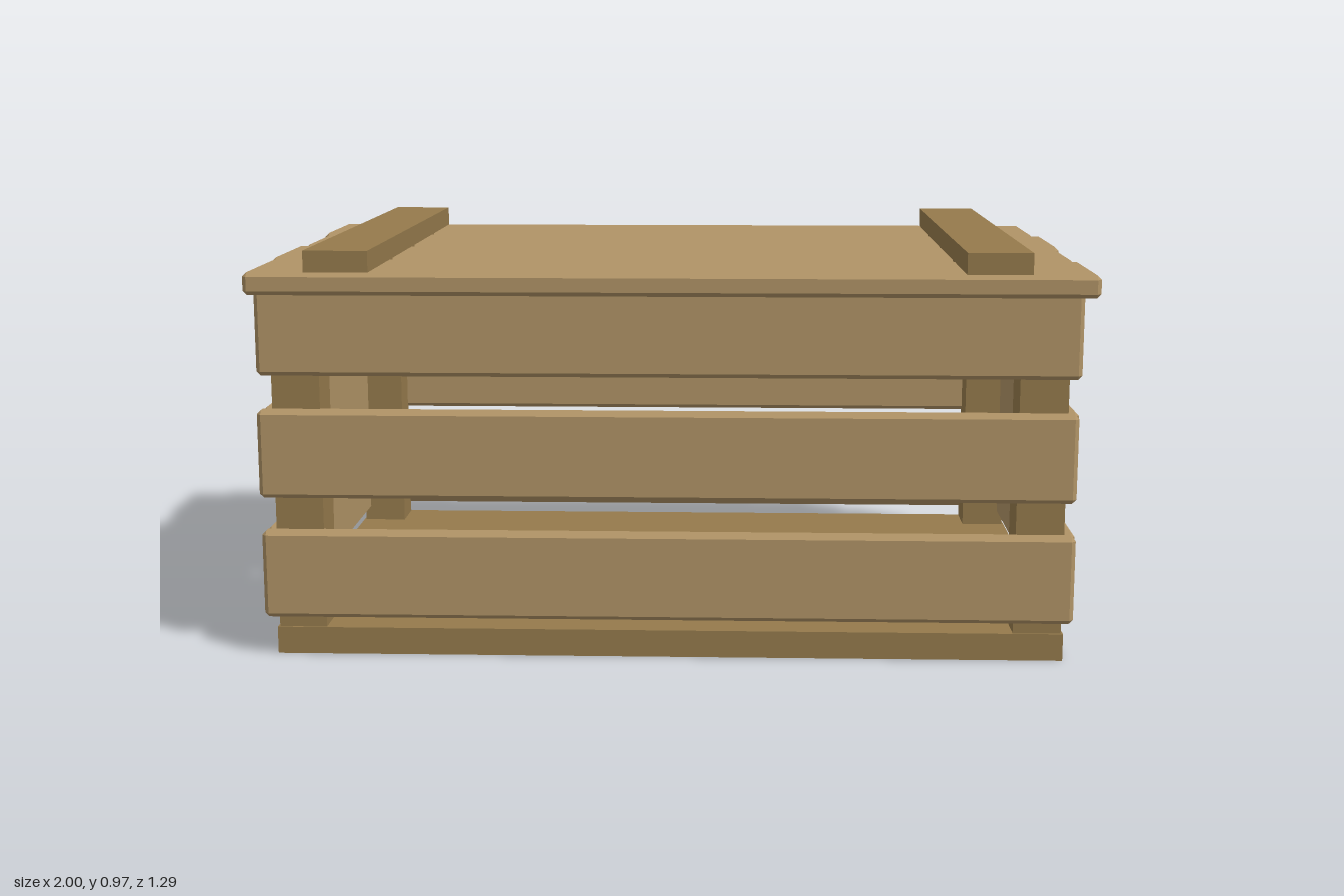
import * as THREE from 'three';
import { ConvexGeometry } from 'three/addons/geometries/ConvexGeometry.js';

const wood = (color) => new THREE.MeshStandardMaterial({ color, flatShading: true });

// Block with every edge chamfered: three corner points per corner
function chamferBox(w, h, d, c) {
  const points = [];
  for (const sx of [-1, 1]) for (const sy of [-1, 1]) for (const sz of [-1, 1]) {
    const x = w / 2, y = h / 2, z = d / 2;
    points.push(
      new THREE.Vector3(sx * x, sy * (y - c), sz * (z - c)),
      new THREE.Vector3(sx * (x - c), sy * y, sz * (z - c)),
      new THREE.Vector3(sx * (x - c), sy * (y - c), sz * z));
  }
  return new ConvexGeometry(points);
}

export function createModel() {
  const model = new THREE.Group();
  model.name = 'crate';
  const plankWood = wood(0xb09366);
  const frameWood = wood(0x957a4c);
  const rope = wood(0xb8a27a);

  // Adds a block given its extents; chamfer 0 gives a plain box
  function block(name, material, [x0, x1], [y0, y1], [z0, z1], chamfer = 0) {
    const size = [x1 - x0, y1 - y0, z1 - z0];
    const geometry = chamfer ? chamferBox(...size, chamfer) : new THREE.BoxGeometry(...size);
    const mesh = new THREE.Mesh(geometry, material);
    mesh.name = name;
    mesh.position.set((x0 + x1) / 2, (y0 + y1) / 2, (z0 + z1) / 2);
    model.add(mesh);
  }
  const mirrored = (s, a, b) => (s > 0 ? [a, b] : [-b, -a]);

  // Floor slab and corner posts
  block('base', frameWood, [-0.935, 0.935], [0, 0.065], [-0.61, 0.61]);
  for (const sx of [-1, 1]) for (const sz of [-1, 1]) {
    block('cornerPost', frameWood, mirrored(sx, 0.817, 0.93), [0.06, 0.87], mirrored(sz, 0.49, 0.605));
  }

  // Three rows of wall slats, slightly uneven along x
  const rows = [[0.095, 0.305, -0.003], [0.385, 0.595, -0.005], [0.677, 0.887, -0.002]];
  for (const [y0, y1, shift] of rows) for (const s of [-1, 1]) {
    block(s > 0 ? 'frontSlat' : 'backSlat', plankWood,
      [-0.957 + shift, 0.957 + shift], [y0, y1], mirrored(s, 0.592, 0.635), 0.01);
    block(s > 0 ? 'leftSlat' : 'rightSlat', plankWood,
      mirrored(s, 0.915, 0.958), [y0, y1], [-0.59, 0.59], 0.01);
  }

  // Lid planks, staggered along x, from back to front
  [-0.01, 0.008, -0.005, 0.004].forEach((shift, i) => {
    const z = -0.495 + i * 0.33;
    block('lidPlank', plankWood, [-0.985 + shift, 0.985 + shift], [0.867, 0.92], [z - 0.152, z + 0.152], 0.01);
  });

  // Battens across the lid
  for (const x of [-0.765, 0.76]) {
    block('lidBatten', frameWood, [x - 0.075, x + 0.075], [0.915, 0.97], [-0.635, 0.635]);
  }

  // Hanging loop handles on both ends
  const path = [[0.127, 0.737], [0.113, 0.675], [0.068, 0.626], [0, 0.609],
    [-0.068, 0.626], [-0.113, 0.675], [-0.127, 0.737]];
  for (const s of [-1, 1]) {
    const curve = new THREE.CatmullRomCurve3(path.map(([z, y]) => new THREE.Vector3(0, y, z)));
    const handle = new THREE.Group();
    handle.name = s > 0 ? 'leftHandle' : 'rightHandle';
    handle.position.x = s * 0.975;
    const loop = new THREE.Mesh(new THREE.TubeGeometry(curve, 10, 0.023, 6), rope);
    loop.name = 'handleLoop';
    handle.add(loop);
    // End caps close the tube
    for (const t of [0, 1]) {
      const cap = new THREE.Mesh(new THREE.CircleGeometry(0.023, 6), rope);
      cap.name = 'handleEnd';
      cap.position.copy(curve.getPointAt(t));
      const outward = curve.getTangentAt(t).multiplyScalar(t ? 1 : -1);
      cap.quaternion.setFromUnitVectors(new THREE.Vector3(0, 0, 1), outward);
      handle.add(cap);
    }
    model.add(handle);
  }
  return model;
}
